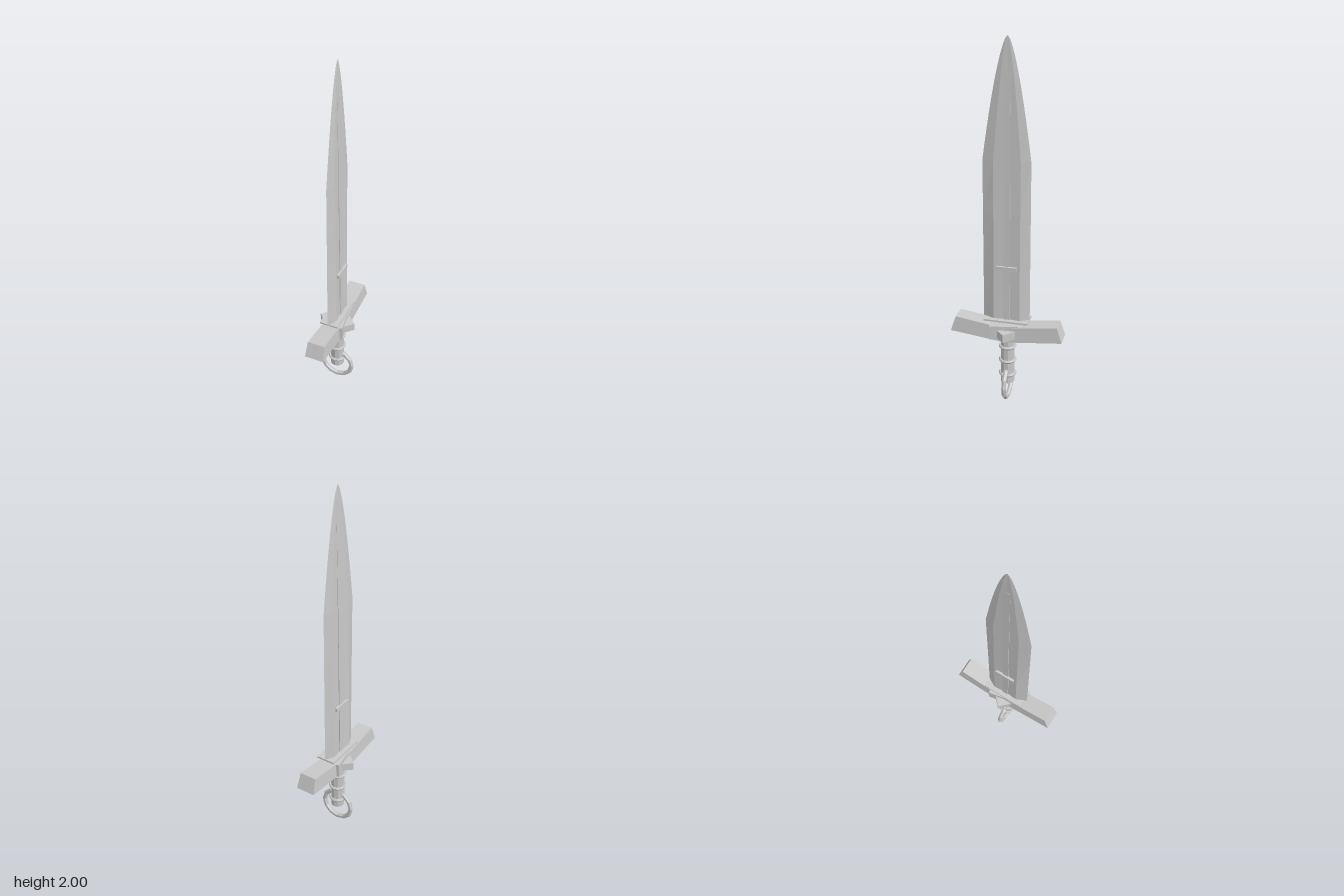
import * as THREE from 'three';

// Closed solid from cross-section rings (counterclockwise seen from the end)
function loft(rings) {
  const n = rings[0].length, pos = [];
  const tri = (a, b, c) => pos.push(...a, ...b, ...c);
  const centre = (r) => [0, 1, 2].map((k) => r.reduce((s, p) => s + p[k], 0) / n);
  const first = rings[0], last = rings[rings.length - 1];
  const c0 = centre(first), c1 = centre(last);
  for (let i = 0; i < n; i++) {
    const j = (i + 1) % n;
    for (let k = 0; k + 1 < rings.length; k++) {
      const a = rings[k], b = rings[k + 1];
      tri(a[i], a[j], b[j]);
      tri(a[i], b[j], b[i]);
    }
    tri(c0, first[j], first[i]);
    tri(c1, last[i], last[j]);
  }
  const g = new THREE.BufferGeometry();
  g.setAttribute('position', new THREE.Float32BufferAttribute(pos, 3));
  g.computeVertexNormals();
  return g;
}

export function createModel() {
  const model = new THREE.Group();
  model.name = 'sword';
  const steel = new THREE.MeshStandardMaterial({ color: 0xc8c8c8, flatShading: true });
  steel.name = 'steel';

  const add = (name, geometry, x = 0, y = 0, z = 0) => {
    const mesh = new THREE.Mesh(geometry, steel);
    mesh.name = name;
    mesh.position.set(x, y, z);
    model.add(mesh);
    return mesh;
  };

  // Blade: hollow-ground section, straight sides, curved point
  const thin = (y) => Math.pow(Math.max(0, (2 - y) / 1.5), 0.7);
  const heights = [0.5, 0.8, 1.1, 1.38, 1.46, 1.54, 1.62, 1.7, 1.78, 1.85, 1.91, 1.96, 1.985, 2];
  add('blade', loft(heights.map((y) => {
    const w = y <= 1.38 ? 1 : Math.pow((2 - y) / 0.62, 0.65);
    const t = thin(y), s = 0.072 * w, ridge = 0.028 * t, valley = 0.021 * t;
    return [
      [0, y, 0.133 * w], [ridge, y, s], [valley, y, 0], [ridge, y, -s],
      [0, y, -0.123 * w], [-ridge, y, -s], [-valley, y, 0], [-ridge, y, s],
    ];
  })));

  // Raised strip up the middle of both blade faces
  add('centreStrip', loft([0.5, 0.8, 1.1, 1.4, 1.65, 1.83].map((y) => {
    const x = 0.028 * thin(y), z = 0.018;
    return [[x, y, z], [x, y, -z], [-x, y, -z], [-x, y, z]];
  })));
  add('bladeBand', new THREE.BoxGeometry(0.068, 0.02, 0.113), 0, 0.8, 0);
  add('bladePlate', new THREE.BoxGeometry(0.106, 0.009, 0.242), 0, 0.497, 0);

  // Guard: bent upward towards both slanted ends
  const guardRing = (bottomZ, bottomY, topZ, topY) => [
    [-0.054, bottomY, bottomZ], [0.054, bottomY, bottomZ],
    [0.048, topY, topZ], [-0.048, topY, topZ],
  ];
  add('guard', loft([
    guardRing(-0.31, 0.41, -0.282, 0.495),
    guardRing(0, 0.375, 0, 0.456),
    guardRing(0.31, 0.41, 0.282, 0.495),
  ]));

  // Blocks turned inside the middle of the guard
  add('guardDiamond', new THREE.BoxGeometry(0.148, 0.045, 0.148), 0, 0.422, 0).rotation.y = Math.PI / 4;
  add('guardBlock', new THREE.BoxGeometry(0.098, 0.08, 0.196), 0, 0.428, 0).rotation.y = 0.2;

  // Grip with three collars
  add('grip', new THREE.CylinderGeometry(0.039, 0.039, 0.29, 10), 0, 0.255, 0);
  for (const y of [0.16, 0.245, 0.33]) {
    add('gripCollar', new THREE.TorusGeometry(0.041, 0.009, 6, 12).rotateX(Math.PI / 2), 0, y, 0);
  }

  // Pommel ring
  add('pommelRing', new THREE.TorusGeometry(0.09, 0.0135, 6, 12), 0, 0.1035, 0);
  return model;
}
